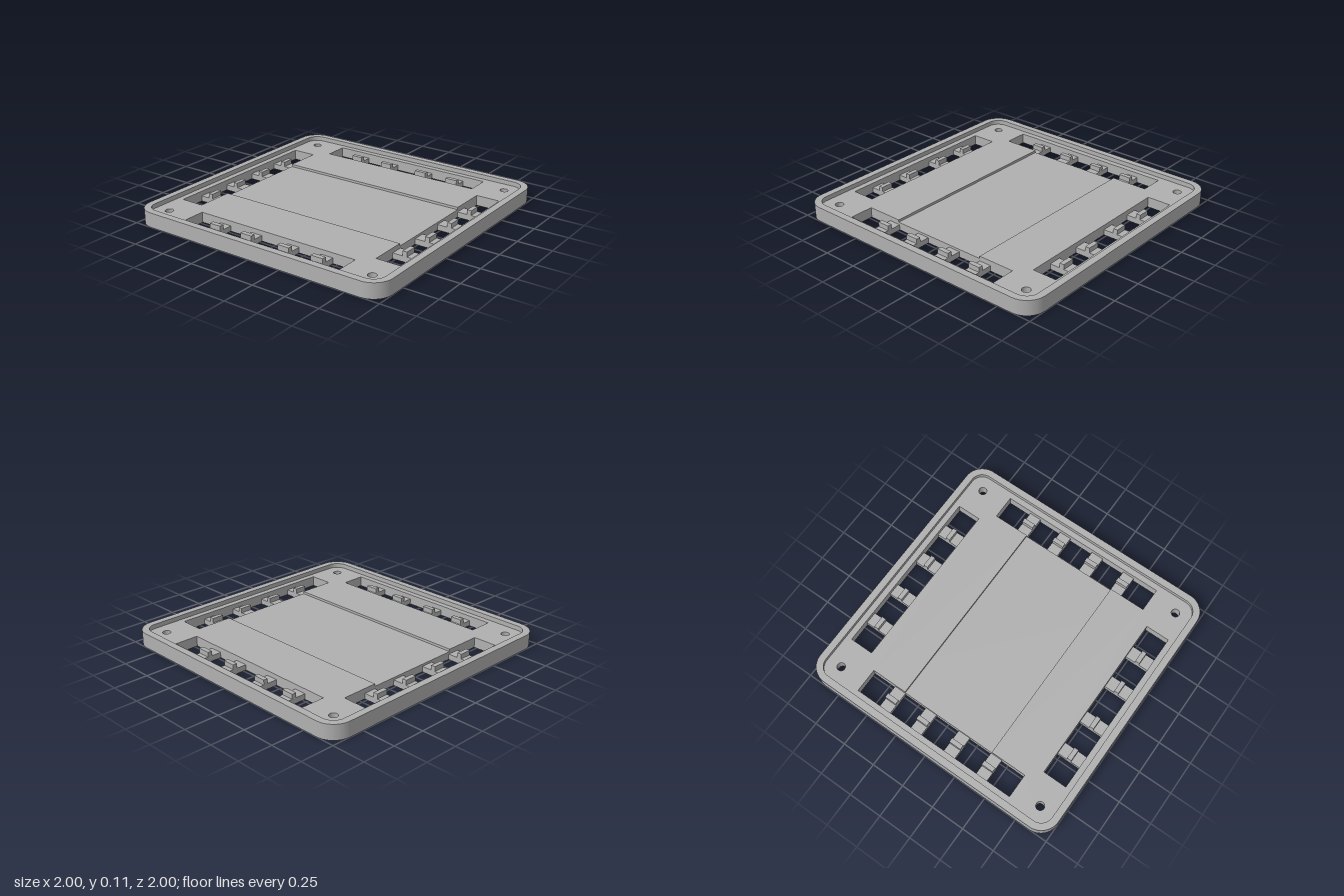
import * as THREE from 'three';

const SLOT_IN = 0.73, SLOT_OUT = 0.907, SLOT_END = 0.638;
// divider spans along the front/back slots (x) and the side slots (z)
const DIVIDERS_X = [[-0.47, -0.38], [-0.2, -0.11], [0.108, 0.2], [0.375, 0.468]];
const DIVIDERS_Z = [[-0.457, -0.367], [-0.19, -0.1], [0.09, 0.183], [0.36, 0.45]];
// level heights: divider saddle, recess floor, tray floor, rim top
const SADDLE = 0.04, RECESS = 0.057, FLOOR = 0.075, TOP = 0.108;

function roundedSquare(h, r, Type = THREE.Shape) {
  const s = new Type();
  const c = h - r;
  s.absarc(c, c, r, 0, Math.PI / 2);
  s.absarc(-c, c, r, Math.PI / 2, Math.PI);
  s.absarc(-c, -c, r, Math.PI, Math.PI * 1.5);
  s.absarc(c, -c, r, Math.PI * 1.5, Math.PI * 2);
  s.closePath();
  return s;
}

// Outlines are given as [x, z]; the extrusion plane has y = -z
const path = (pts) => new THREE.Path(pts.map(([x, z]) => new THREE.Vector2(x, -z)));
const rect = (x0, x1, z0, z1) => path([[x0, z0], [x1, z0], [x1, z1], [x0, z1]]);

// Open lengths left between the dividers
function gaps(dividers) {
  const edges = [-SLOT_END, ...dividers.flat(), SLOT_END];
  return [0, 2, 4, 6, 8].map((i) => [edges[i], edges[i + 1]]);
}

function screwHoles() {
  const holes = [];
  for (const x of [-0.84, 0.84]) for (const z of [-0.84, 0.84]) {
    holes.push(new THREE.Path().absarc(x, z, 0.03, 0, Math.PI * 2, true));
  }
  return holes;
}

export function createModel() {
  const model = new THREE.Group();
  model.name = 'tray';
  const grey = new THREE.MeshStandardMaterial({ color: 0xb0b0b0 });
  grey.name = 'grey plastic';

  function layer(name, y0, y1, holes) {
    const shape = roundedSquare(1, 0.14);
    shape.holes.push(...holes);
    const geo = new THREE.ExtrudeGeometry(shape, { depth: y1 - y0, bevelEnabled: false, curveSegments: 12 });
    geo.rotateX(-Math.PI / 2);
    const mesh = new THREE.Mesh(geo, grey);
    mesh.name = name;
    mesh.position.y = y0;
    model.add(mesh);
  }

  // Bottom plate, with separate windows between the dividers
  const windows = [];
  for (const s of [-1, 1]) {
    const near = Math.min(s * SLOT_IN, s * SLOT_OUT), far = Math.max(s * SLOT_IN, s * SLOT_OUT);
    for (const [a, b] of gaps(DIVIDERS_X)) windows.push(rect(a, b, near, far));
    for (const [a, b] of gaps(DIVIDERS_Z)) windows.push(rect(near, far, a, b));
  }
  layer('bottomPlate', 0, SADDLE, [...windows, ...screwHoles()]);

  // Middle plate, with four full-length slots
  const endSlots = () => [
    rect(-SLOT_END, SLOT_END, -SLOT_OUT, -SLOT_IN),
    rect(-SLOT_END, SLOT_END, SLOT_IN, SLOT_OUT),
  ];
  layer('middlePlate', SADDLE, RECESS, [
    ...endSlots(),
    rect(-SLOT_OUT, -SLOT_IN, -SLOT_END, SLOT_END),
    rect(SLOT_IN, SLOT_OUT, -SLOT_END, SLOT_END),
    ...screwHoles(),
  ]);

  // Floor plate: the shallow central recess joins both side slots
  const r = 0.367;
  layer('floorPlate', RECESS, FLOOR, [
    ...endSlots(),
    path([
      [-SLOT_OUT, -SLOT_END], [-SLOT_IN, -SLOT_END], [-SLOT_IN, -r], [SLOT_IN, -r],
      [SLOT_IN, -SLOT_END], [SLOT_OUT, -SLOT_END], [SLOT_OUT, SLOT_END], [SLOT_IN, SLOT_END],
      [SLOT_IN, r], [-SLOT_IN, r], [-SLOT_IN, SLOT_END], [-SLOT_OUT, SLOT_END],
    ]),
    ...screwHoles(),
  ]);

  // Raised outer rim
  layer('rim', FLOOR, TOP, [roundedSquare(0.95, 0.09, THREE.Path)]);

  // Small ridge across the middle of every divider
  const ridgeHeight = FLOOR - SADDLE, ridgeWidth = 0.033, ridgeAt = 0.82;
  function ridge(w, d, x, z) {
    const mesh = new THREE.Mesh(new THREE.BoxGeometry(w, ridgeHeight, d), grey);
    mesh.name = 'dividerRidge';
    mesh.position.set(x, SADDLE + ridgeHeight / 2, z);
    model.add(mesh);
  }
  for (const s of [-1, 1]) {
    for (const [a, b] of DIVIDERS_X) ridge(b - a, ridgeWidth, (a + b) / 2, s * ridgeAt);
    for (const [a, b] of DIVIDERS_Z) ridge(ridgeWidth, b - a, s * ridgeAt, (a + b) / 2);
  }
  return model;
}
